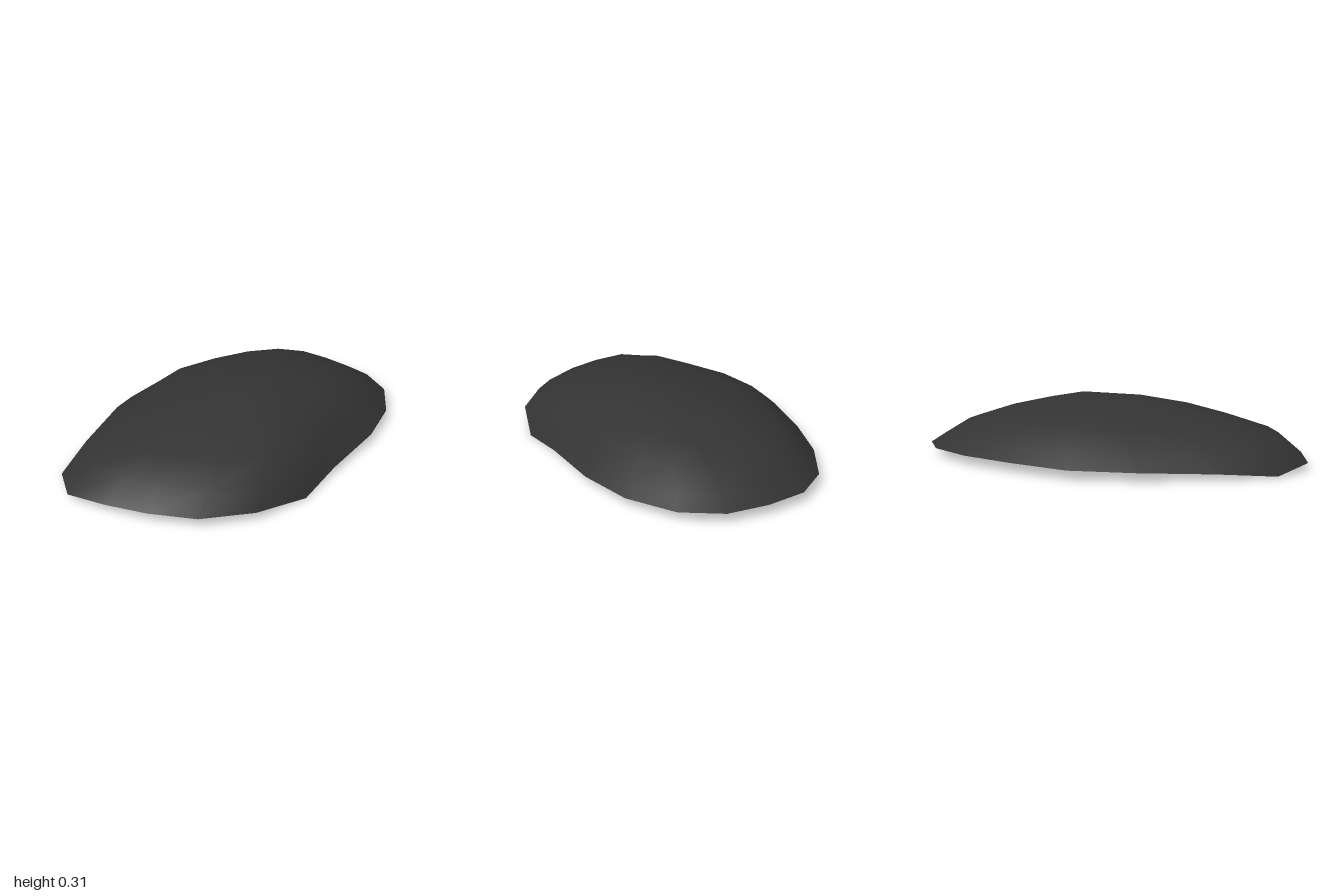
import * as THREE from 'three';

// Irregular rim of the shell, clockwise seen from above: x, y, z
const RIM = [
  [-0.17, 0.05, -0.98], [0.03, 0.05, -1.0], [0.23, 0.05, -0.98], [0.41, 0.05, -0.87],
  [0.55, 0.047, -0.65], [0.62, 0.042, -0.37], [0.635, 0.025, 0.0], [0.66, 0.0, 0.28],
  [0.59, 0.043, 0.57], [0.43, 0.052, 0.78], [0.23, 0.053, 0.89], [0.03, 0.05, 0.96],
  [-0.18, 0.038, 1.0], [-0.38, 0.008, 0.87], [-0.5, 0.03, 0.6], [-0.63, 0.045, 0.26],
  [-0.665, 0.047, -0.06], [-0.585, 0.05, -0.37], [-0.48, 0.05, -0.65], [-0.34, 0.05, -0.87],
];
const APEX = [0.09, 0.315, -0.2];

// Rings between rim and apex: reach t, and heights towards +x, -x, +z, -z
const RINGS = [
  { t: 0.9, px: 0.09, nx: 0.11, pz: 0.145, nz: 0.1 },
  { t: 0.75, px: 0.17, nx: 0.2, pz: 0.195, nz: 0.17 },
  { t: 0.55, px: 0.237, nx: 0.25, pz: 0.25, nz: 0.222 },
  { t: 0.3, px: 0.28, nx: 0.288, pz: 0.297, nz: 0.268 },
];

function shellGeometry() {
  const n = RIM.length;
  const positions = RIM.flat();
  for (const ring of RINGS) {
    for (const [x, , z] of RIM) {
      const dx = x - APEX[0], dz = z - APEX[2];
      // blend the side and end heights by direction
      const u = (dx / 0.65) ** 2, v = dz ** 2;
      const side = dx > 0 ? ring.px : ring.nx;
      const end = dz > 0 ? ring.pz : ring.nz;
      const y = (side * u + end * v) / (u + v);
      positions.push(APEX[0] + dx * ring.t, y, APEX[2] + dz * ring.t);
    }
  }
  positions.push(...APEX);

  const index = [];
  for (let i = 0; i < n; i++) {
    const j = (i + 1) % n;
    for (let r = 0; r < RINGS.length; r++) {
      const a = r * n + i, b = r * n + j;
      index.push(a, a + n, b, b, a + n, b + n);
    }
    const last = RINGS.length * n;
    index.push(last + j, last + i, last + n);
  }
  const geometry = new THREE.BufferGeometry();
  geometry.setAttribute('position', new THREE.Float32BufferAttribute(positions, 3));
  // rings run clockwise, so turn each face to point upwards
  for (let k = 0; k < index.length; k += 3) {
    const [a, b, c] = [0, 1, 2].map((m) => new THREE.Vector3().fromArray(positions, index[k + m] * 3));
    if (b.sub(a).cross(c.sub(a)).y < 0) [index[k + 1], index[k + 2]] = [index[k + 2], index[k + 1]];
  }
  geometry.setIndex(index);
  geometry.computeVertexNormals();
  return geometry;
}

export function createModel() {
  const group = new THREE.Group();
  group.name = 'shellModel';
  // Thin open dome, hollow below
  const shell = new THREE.Mesh(
    shellGeometry(),
    new THREE.MeshStandardMaterial({ color: 0x333333, side: THREE.DoubleSide }),
  );
  shell.name = 'domedShell';
  group.add(shell);
  return group;
}
